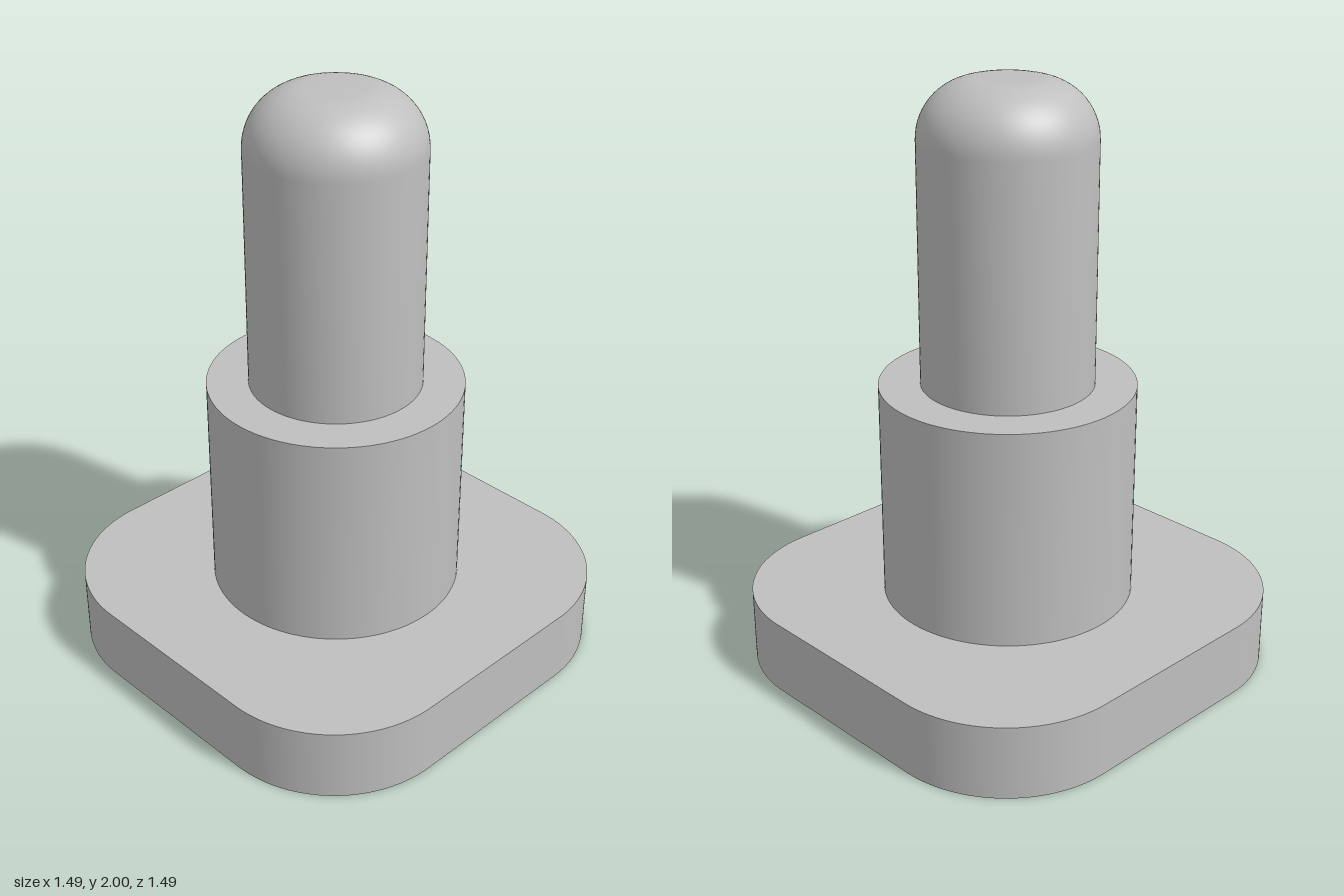
import * as THREE from 'three';
import { toCreasedNormals } from 'three/addons/utils/BufferGeometryUtils.js';

const CREASE = 0.5;

// Square outline with rounded corners
function roundedSquare(half, r) {
  const c = half - r;
  const s = new THREE.Shape();
  s.moveTo(half, -c);
  s.absarc(c, c, r, 0, Math.PI / 2);
  s.absarc(-c, c, r, Math.PI / 2, Math.PI);
  s.absarc(-c, -c, r, Math.PI, Math.PI * 1.5);
  s.absarc(c, -c, r, Math.PI * 1.5, Math.PI * 2);
  return s;
}

export function createModel() {
  const group = new THREE.Group();
  const grey = new THREE.MeshStandardMaterial({ color: 0xbfbfbf });
  grey.name = 'grey';

  const add = (name, geometry, y) => {
    const mesh = new THREE.Mesh(toCreasedNormals(geometry, CREASE), grey);
    mesh.name = name;
    mesh.position.y = y;
    group.add(mesh);
  };

  // Base plate
  const plate = new THREE.ExtrudeGeometry(roundedSquare(0.747, 0.43), {
    depth: 0.253, bevelEnabled: false, curveSegments: 24,
  });
  plate.rotateX(-Math.PI / 2);
  add('basePlate', plate, 0);

  // Wide collar
  add('collar', new THREE.CylinderGeometry(0.425, 0.425, 0.747, 96), 0.253 + 0.747 / 2);

  // Pin with a rounded top edge and a small flat tip
  const radius = 0.287, fillet = 0.19, height = 1;
  const profile = [new THREE.Vector2(radius, 0)];
  for (let i = 0; i <= 16; i++) {
    const a = (i / 16) * Math.PI / 2;
    profile.push(new THREE.Vector2(
      radius - fillet + fillet * Math.cos(a),
      height - fillet + fillet * Math.sin(a)));
  }
  profile.push(new THREE.Vector2(0, height));
  add('pin', new THREE.LatheGeometry(profile, 96), 1);

  return group;
}
